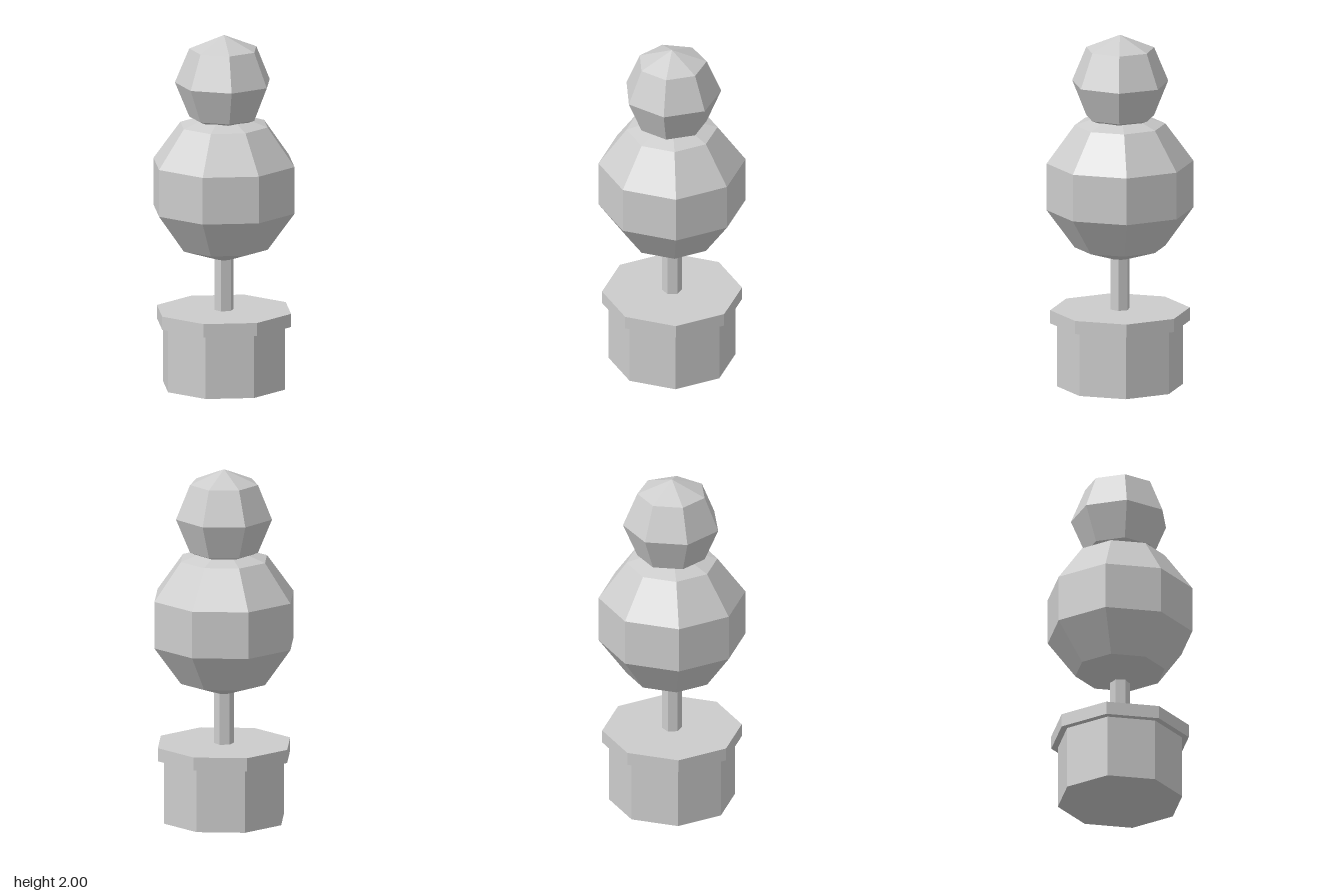
import * as THREE from 'three';

export function createModel() {
  const model = new THREE.Group();
  model.name = 'pottedTopiary';

  const grey = new THREE.MeshStandardMaterial({ color: 0xcccccc, flatShading: true });
  grey.name = 'plain grey';

  const add = (name, geometry, y) => {
    const mesh = new THREE.Mesh(geometry, grey);
    mesh.name = name;
    mesh.position.y = y;
    model.add(mesh);
  };

  // Eight-sided pot with an overhanging rim
  add('pot', new THREE.CylinderGeometry(0.353, 0.353, 0.36, 8), 0.18);
  add('potRim', new THREE.CylinderGeometry(0.39, 0.39, 0.075, 8), 0.3975);

  // Six-sided trunk, its ends sunk into the rim and foliage
  add('trunk', new THREE.CylinderGeometry(0.055, 0.055, 0.34, 6), 0.59);

  // Two stacked foliage balls; the upper one has a corner facing the back
  add('lowerFoliage', new THREE.SphereGeometry(0.431, 8, 5), 1.14);
  add('upperFoliage', new THREE.SphereGeometry(0.274, 7, 4, -Math.PI / 2), 1.726);

  return model;
}
